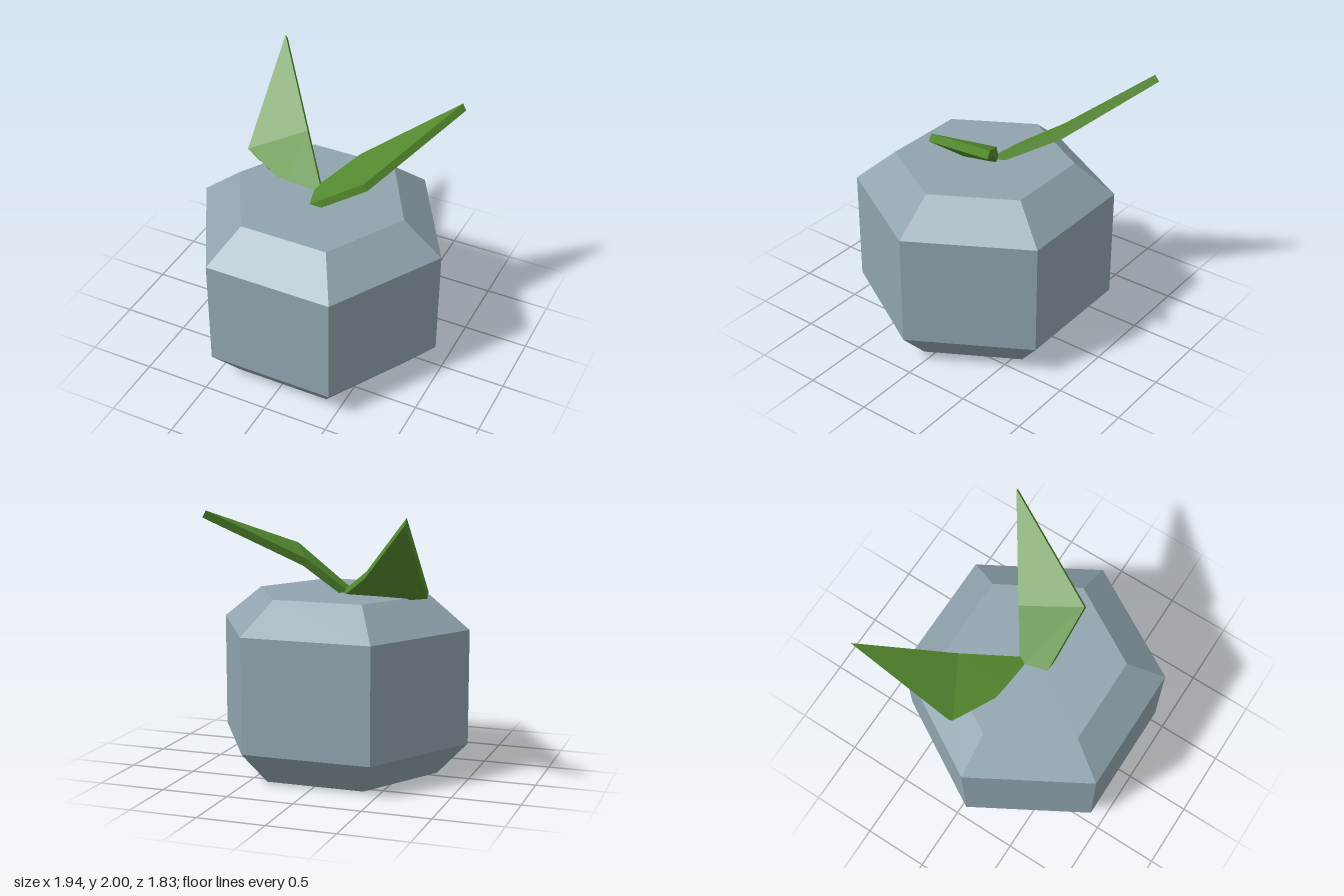
import * as THREE from 'three';

const potMaterial = new THREE.MeshStandardMaterial({ color: 0x90a4ae, flatShading: true });
const leafMaterial = new THREE.MeshStandardMaterial({ color: 0x558b2f, flatShading: true });

// Folded slab: five-point outline (tip, side, base, base, side), counter-clockwise
// from above, copied along the thickness offset.
function makeLeaf(name, outline, offset) {
  const n = outline.length;
  const lower = outline.map((p) => p.map((v, i) => v + offset[i]));
  const index = [];
  // upper and lower faces, creased between the two side points
  for (const [a, b, c] of [[0, 1, 4], [1, 2, 4], [2, 3, 4]]) {
    index.push(a, b, c, n + a, n + c, n + b);
  }
  // rim
  for (let i = 0; i < n; i++) {
    const j = (i + 1) % n;
    index.push(i, n + i, j, j, n + i, n + j);
  }
  const indexed = new THREE.BufferGeometry();
  indexed.setAttribute('position', new THREE.Float32BufferAttribute([...outline, ...lower].flat(), 3));
  indexed.setIndex(index);
  const geometry = indexed.toNonIndexed();
  geometry.computeVertexNormals();
  const leaf = new THREE.Mesh(geometry, leafMaterial);
  leaf.name = name;
  return leaf;
}

export function createModel() {
  const model = new THREE.Group();
  model.name = 'pottedSprout';

  // six-sided body with bevelled top and bottom
  const profile = [[0, 0], [0.74, 0], [0.97, 0.245], [0.97, 1.1], [0.67, 1.34], [0, 1.34]];
  const body = new THREE.Mesh(
    new THREE.LatheGeometry(profile.map(([r, y]) => new THREE.Vector2(r, y)), 6, Math.PI / 6),
    potMaterial
  );
  body.name = 'body';
  body.position.z = 0.075;
  model.add(body);

  // two leaves rising from the top, their bases sunk into the body
  model.add(makeLeaf('rightLeaf', [
    [-0.77, 2.0, -0.88],
    [-0.72, 1.4, -0.15],
    [-0.3, 1.322, 0.045],
    [0.03, 1.32, 0.08],
    [-0.32, 1.555, -0.36],
  ], [0, -0.045, -0.035]));

  model.add(makeLeaf('leftLeaf', [
    [0.81, 1.975, -0.6],
    [0.2, 1.605, -0.19],
    [-0.1, 1.32, 0.015],
    [-0.06, 1.31, 0.2],
    [0.42, 1.67, 0.225],
  ], [0.027, -0.052, 0]));

  return model;
}
